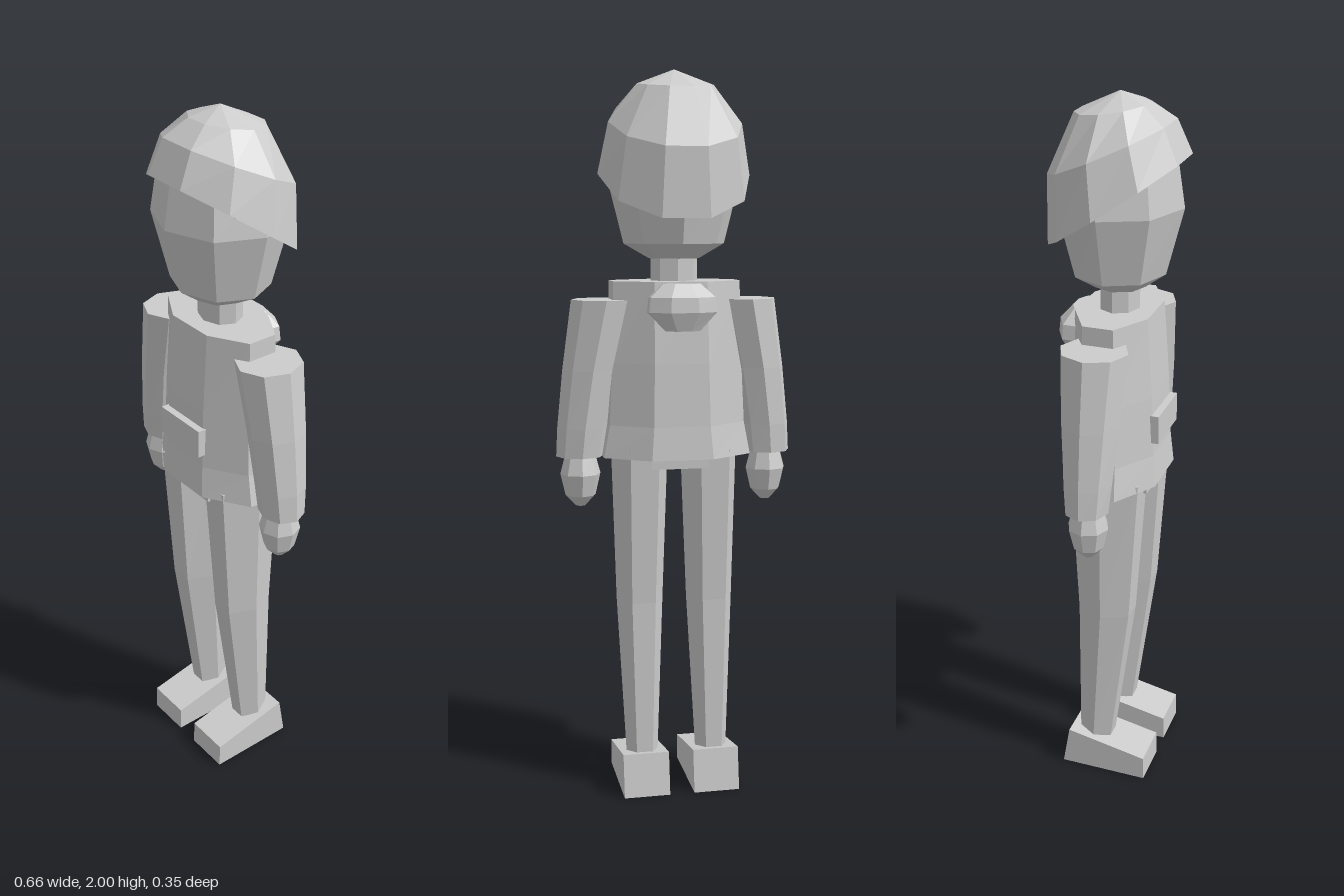
import * as THREE from 'three';

const grey = new THREE.MeshStandardMaterial({ color: 0xcccccc, flatShading: true });
grey.name = 'plain grey';

// Faceted solid through elliptical rings, bottom to top: [y, cx, cz, rx, rz, tilt].
// phase shifts the corners by a fraction of one side.
function loft(rings, sides, phase = 0) {
  const pos = [], idx = [], last = rings.length - 1;
  for (const [y, cx, cz, rx, rz, tilt = 0] of rings) {
    for (let i = 0; i < sides; i++) {
      const a = ((i + phase) / sides) * Math.PI * 2;
      const dz = Math.cos(a) * rz;
      pos.push(cx + Math.sin(a) * rx, y + tilt * dz, cz + dz);
    }
  }
  for (const j of [0, last]) pos.push(rings[j][1], rings[j][0], rings[j][2]);
  const bottom = rings.length * sides;
  for (let i = 0; i < sides; i++) {
    const k = (i + 1) % sides;
    for (let j = 0; j < last; j++) {
      const a = j * sides + i, b = j * sides + k;
      idx.push(a, b, b + sides, a, b + sides, a + sides);
    }
    idx.push(bottom, k, i, bottom + 1, last * sides + i, last * sides + k);
  }
  const g = new THREE.BufferGeometry();
  g.setAttribute('position', new THREE.Float32BufferAttribute(pos, 3));
  g.setIndex(idx);
  const flat = g.toNonIndexed();
  flat.computeVertexNormals();
  return flat;
}

export function createModel() {
  const model = new THREE.Group();
  const add = (name, geometry, x = 0, y = 0, z = 0) => {
    const mesh = new THREE.Mesh(geometry, grey);
    mesh.name = name;
    mesh.position.set(x, y, z);
    model.add(mesh);
    return mesh;
  };

  // Head and neck
  add('head', loft([
    [1.5, 0, 0, 0.07, 0.07],
    [1.54, 0, 0, 0.14, 0.125],
    [1.72, 0, 0, 0.185, 0.172],
    [1.84, 0, 0, 0.165, 0.153],
    [1.92, 0, 0, 0.08, 0.07],
  ], 8));
  add('neck', loft([[1.41, 0, 0, 0.065, 0.055], [1.53, 0, 0, 0.065, 0.055]], 8));

  // Tilted cap of hair, low at the back
  add('hair', loft([
    [1.725, 0, -0.003, 0.21, 0.182, 0.68],
    [1.86, 0, -0.023, 0.183, 0.162, 0.45],
    [1.96, 0, -0.02, 0.105, 0.096, 0.14],
    [2, 0, 0, 0.001, 0.001],
  ], 10, 0.5));

  // Jacket, belly pouch, hood and pelvis
  const k = 1 / Math.cos(Math.PI / 8);
  add('jacket', loft([
    [0.96, 0, 0, 0.205 * k, 0.13 * k],
    [1.05, 0, 0, 0.188 * k, 0.122 * k],
    [1.22, 0, 0, 0.18 * k, 0.115 * k],
    [1.44, 0, 0, 0.175 * k, 0.1 * k],
  ], 8, 0.5));
  add('pouch', new THREE.BoxGeometry(0.165, 0.08, 0.04), 0, 1.13, 0.117);
  add('hood', loft([
    [1.31, 0, -0.12, 0.05, 0.025],
    [1.36, 0, -0.11, 0.1, 0.054],
    [1.4, 0, -0.11, 0.095, 0.05],
    [1.435, 0, -0.1, 0.055, 0.028],
  ], 8, 0.5));
  add('pelvis', new THREE.BoxGeometry(0.16, 0.06, 0.2), 0, 0.96, 0.005);

  // Wedge-shaped shoe profile, drawn in z and y
  const shoe = new THREE.ExtrudeGeometry(new THREE.Shape([
    new THREE.Vector2(-0.125, 0), new THREE.Vector2(0.132, 0),
    new THREE.Vector2(0.13, 0.073), new THREE.Vector2(-0.105, 0.12),
  ]), { depth: 0.13, bevelEnabled: false });
  shoe.translate(0, 0, -0.065).rotateY(-Math.PI / 2);

  // Limbs on both sides
  for (const [side, s] of [['left', 1], ['right', -1]]) {
    add(side + 'Arm', loft([
      [0.96, s * 0.265, 0, 0.066, 0.06],
      [1.04, s * 0.258, 0, 0.069, 0.068],
      [1.2, s * 0.236, 0, 0.075, 0.08],
      [1.39, s * 0.2, 0, 0.085, 0.092],
    ], 8));
    add(side + 'Hand', loft([
      [0.82, s * 0.264, 0.003, 0.014, 0.014],
      [0.85, s * 0.264, 0.003, 0.042, 0.042],
      [0.91, s * 0.264, 0.003, 0.056, 0.056],
      [0.97, s * 0.264, 0.003, 0.04, 0.04],
    ], 8));
    add(side + 'Leg', loft([
      [0.1, s * 0.1, -0.035, 0.045, 0.055],
      [0.55, s * 0.1, -0.003, 0.066, 0.086],
      [0.98, s * 0.098, 0.002, 0.08, 0.112],
    ], 6, 0.5));
    add(side + 'Shoe', shoe, s * 0.1);
  }
  return model;
}
